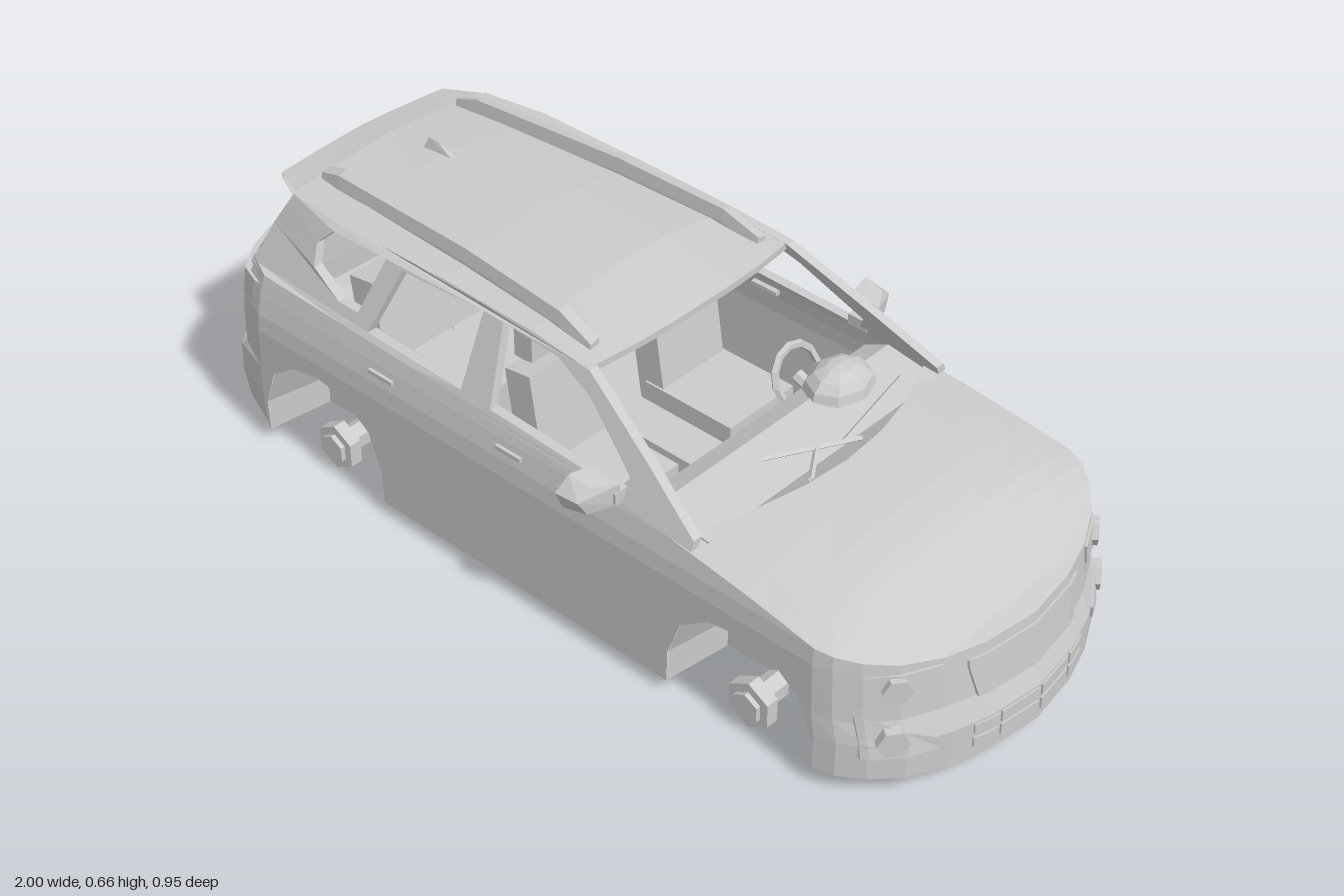
import * as THREE from 'three';
import { ConvexGeometry } from 'three/addons/geometries/ConvexGeometry.js';

const mat = new THREE.MeshStandardMaterial({ color: 0xcccccc, flatShading: true, side: THREE.DoubleSide });
const clamp = THREE.MathUtils.clamp;

// piecewise linear lookup in a list of [key, value] with rising keys
function lookup(table, k) {
  for (let i = 1; i < table.length; i++) {
    const [a, va] = table[i - 1], [b, vb] = table[i];
    if (k <= b) return va + (vb - va) * clamp((k - a) / (b - a), 0, 1);
  }
  return table[table.length - 1][1];
}

// skin stretched over rows of points
function skin(rows) {
  const pos = [];
  const tri = (a, b, c) => {
    const [A, B, C] = [a, b, c].map(p => new THREE.Vector3(...p));
    if (B.sub(A).cross(C.sub(A)).length() > 1e-8) pos.push(...a, ...b, ...c);
  };
  for (let i = 0; i + 1 < rows.length; i++)
    for (let j = 0; j + 1 < rows[i].length; j++) {
      const a = rows[i][j], b = rows[i + 1][j], c = rows[i + 1][j + 1], d = rows[i][j + 1];
      tri(a, d, c);
      tri(a, c, b);
    }
  const g = new THREE.BufferGeometry();
  g.setAttribute('position', new THREE.Float32BufferAttribute(pos, 3));
  g.computeVertexNormals();
  return g;
}

// half plan outline, nose to tail: [x, z, bottom y]
const archShape = [[0.185, 0.05], [0.183, 0.11], [0.15, 0.2], [0.08, 0.25], [0, 0.265],
  [-0.08, 0.25], [-0.15, 0.2], [-0.183, 0.11], [-0.185, 0.032]];
const archX = [0.585, -0.595];
const archCols = cx => archShape.map(([x, y]) => [cx + x, 0.4, y]);
const nose = [[1, 0, 0.04], [0.983, 0.13, 0.04], [0.955, 0.22, 0.04], [0.915, 0.3, 0.042], [0.865, 0.355, 0.045], [0.815, 0.388, 0.045], [0.77, 0.4, 0.045]];
const tail = [[-0.79, 0.4, 0.055], [-0.89, 0.37, 0.065], [-0.94, 0.305, 0.075], [-0.972, 0.23, 0.08], [-0.995, 0.12, 0.08], [-1, 0, 0.08]];
const columns = [...nose, ...archCols(archX[0]), [0.4, 0.4, 0.032], [0.2, 0.4, 0.032], [-0.1, 0.4, 0.032],
  [-0.41, 0.4, 0.032], ...archCols(archX[1]), ...tail];

const topY = x => lookup([[-1, 0.445], [-0.78, 0.43], [-0.4, 0.42], [0.2, 0.41], [0.4, 0.385], [0.58, 0.365], [0.83, 0.33], [0.95, 0.3], [1, 0.295]], x);
const widthAt = y => lookup([[0.3, 1], [0.34, 0.99], [0.385, 0.965], [0.41, 0.945], [0.45, 0.92]], y);
const frontIn = y => lookup([[0.13, 0], [0.18, 0.02], [0.3, 0.03]], y);
const rearIn = y => lookup([[0.08, 0.025], [0.12, 0], [0.2, 0.005], [0.215, 0.035], [0.4, 0.04], [0.45, 0.075]], y);
const warp = (x, y, z) => {
  if (x > 0) x -= frontIn(y) * clamp((x - 0.7) / 0.2, 0, 1);
  else x += rearIn(y) * clamp((-x - 0.75) / 0.2, 0, 1);
  return [x, y, z * widthAt(y)];
};

// surface x of the nose (end 1) or tail (end -1)
const endX = (end, z, y) => end > 0
  ? lookup(nose.map(c => [c[1], c[0]]), Math.abs(z)) - frontIn(y)
  : lookup(tail.map(c => [c[1], c[0]]).reverse(), Math.abs(z)) + rearIn(y);

export function createModel() {
  const car = new THREE.Group();
  car.name = 'car';
  const add = (name, geo, x = 0, y = 0, z = 0) => {
    const m = new THREE.Mesh(geo, mat);
    m.name = name;
    m.position.set(x, y, z);
    car.add(m);
    return m;
  };
  const box = (name, w, h, d, x, y, z) => add(name, new THREE.BoxGeometry(w, h, d), x, y, z);
  const bar = (name, a, b, r, sides = 6) => add(name, new THREE.TubeGeometry(
    new THREE.LineCurve3(new THREE.Vector3(...a), new THREE.Vector3(...b)), 1, r, sides));
  const hull = (name, pts) => add(name, new ConvexGeometry(pts.map(p => new THREE.Vector3(...p))));

  // lower body, wrapped right round the car
  const ring = [...columns, ...columns.map(([x, z, y]) => [x, -z, y]).reverse()];
  const levels = [0, 0.1, 0.13, 0.18, 0.2, 0.215, 0.3, 0.34, 0.385, 0.5];
  add('lowerBody', skin(ring.map(([x, z, yb]) => levels.map(l => warp(x, clamp(l, yb, topY(x)), z)))));

  // bonnet, flat behind and falling to the nose
  const across = [1, 0.85, 0.6, 0.3, 0, -0.3, -0.6, -0.85, -1];
  const bonnetCols = columns.filter(c => c[0] > 0.58 || c[0] === 0.4);
  const bonnetMid = [[0.4, 0.412], [0.58, 0.405], [0.68, 0.395], [0.77, 0.375], [0.83, 0.355], [0.9, 0.325], [0.95, 0.305], [1, 0.295]];
  add('bonnet', skin(bonnetCols.map(([x, z]) => {
    const [px, py, pz] = warp(x, topY(x), z);
    const crown = lookup(bonnetMid, x) - py;
    return across.map(s => [px + (x === 0.4 ? 0.11 * (1 - s * s) : 0), py + crown * (1 - Math.abs(s) ** 2.5), pz * s]);
  })));

  // roof with a rear overhang: [x, centre y, edge y, half width]
  const roof = [[-0.86, 0.602, 0.588, 0.235], [-0.77, 0.622, 0.597, 0.272], [-0.6, 0.637, 0.6, 0.285],
    [-0.3, 0.646, 0.603, 0.297], [-0.05, 0.64, 0.6, 0.298], [0.1, 0.606, 0.588, 0.3]];
  const roofRow = ([x, c, e, w], dy = 0, dx = 0) => across.map(s =>
    [x + dx + (x > 0 ? 0.035 * (1 - s * s) : 0), c + (e - c) * Math.abs(s) ** 1.4 + dy, -w * s]);
  add('roof', skin(roof.map(r => roofRow(r))));
  add('windscreenHeader', skin([roofRow(roof[5]), roofRow(roof[5], -0.015), roofRow(roof[5], -0.012, -0.06)]));
  add('spoiler', skin([roofRow(roof[1], -0.03), roofRow(roof[0], -0.015), roofRow(roof[0])]));

  // pillars and window frames
  const path = pts => pts.map(p => new THREE.Vector2(...p));
  const frame = new THREE.Shape(path([[0.45, 0.385], [0.2, 0.4], [-0.1, 0.405], [-0.4, 0.41], [-0.78, 0.42], [-0.84, 0.43], [-0.81, 0.52],
    [-0.77, 0.595], [-0.6, 0.602], [-0.3, 0.606], [-0.05, 0.602], [0.11, 0.59], [0.3, 0.49], [0.45, 0.405]]));
  for (const w of [
    [[-0.66, 0.54], [-0.62, 0.58], [-0.46, 0.585], [-0.5, 0.46], [-0.56, 0.46], [-0.65, 0.495]],
    [[-0.46, 0.435], [-0.41, 0.58], [-0.18, 0.59], [-0.185, 0.43]],
    [[-0.1, 0.425], [-0.125, 0.59], [0.03, 0.583], [0.13, 0.545], [0.27, 0.45], [0.25, 0.415]],
  ]) frame.holes.push(new THREE.Path(path(w)));
  for (const s of [1, -1]) {
    const g = new THREE.ExtrudeGeometry(frame, { depth: 0.022, bevelEnabled: false });
    const p = g.attributes.position;
    for (let i = 0; i < p.count; i++) {
      const x = p.getX(i), y = p.getY(i);
      const taper = Math.max(0, -x - 0.6) * 0.12 * clamp((y - 0.43) / 0.16, 0, 1) + Math.max(0, -x - 0.78) * 0.35;
      const z = 0.378 - (y - 0.41) * 0.42 - taper;
      p.setZ(i, s > 0 ? z - 0.022 + p.getZ(i) : -z + p.getZ(i));
    }
    g.computeVertexNormals();
    add('sideFrame', g);
  }

  // tailgate frame around the open rear window
  const gate = (z, y, d) => [-0.928 + (y - 0.44) * 0.75 + z * z * 0.72 + d, y, z];
  const outer = [[0.35, 0.435], [0, 0.44], [-0.35, 0.435], [-0.27, 0.595], [0, 0.612], [0.27, 0.595], [0.35, 0.435]];
  const inner = [[0.27, 0.46], [0, 0.46], [-0.27, 0.46], [-0.225, 0.545], [0, 0.552], [0.225, 0.545], [0.27, 0.46]];
  add('tailgateFrame', skin([outer.map(p => gate(...p, 0)), inner.map(p => gate(...p, 0)), inner.map(p => gate(...p, 0.02))]));

  // wheel arch linings, hubs and axles
  for (const cx of archX) {
    for (const s of [1, -1]) {
      const mouth = archShape.map(([x, y]) => [cx + x, y, 0.398 * s]);
      const deep = archShape.map(([x, y]) => [cx + x * 0.9, y * 0.91, 0.24 * s]);
      add('archLining', skin(s > 0 ? [mouth, deep] : [deep, mouth]));
      add('archWall', new THREE.ShapeGeometry(new THREE.Shape(path(deep))), 0, 0, 0.24 * s);
      for (const [r, l, z] of [[0.056, 0.03, 0.355], [0.035, 0.046, 0.358], [0.03, 0.06, 0.31]])
        add('hub', new THREE.CylinderGeometry(r, r, l, 6).rotateX(Math.PI / 2), cx, 0.064, z * s);
    }
    bar('axle', [cx, 0.064, -0.35], [cx, 0.064, 0.35], 0.02);
    box('differential', 0.09, 0.05, 0.1, cx, 0.066, 0);
  }

  // underside, stepped up over the axles, with a tunnel down the middle: [x, half width, y]
  const channel = cx => [[cx + 0.17, 0.24, 0.04], [cx + 0.165, 0.24, 0.11], [cx - 0.165, 0.24, 0.11], [cx - 0.17, 0.24, 0.032]];
  const under = [...nose, ...channel(archX[0]), [0.4, 0.4, 0.032], [-0.41, 0.4, 0.032], ...channel(archX[1]), ...tail];
  add('underside', skin(under.map(([x, z, y]) => {
    const t = Math.min(z, 0.065), roofY = Math.abs(x) < 0.43 ? 0.1 : y;
    return [[-z, y], [-t, y], [-t, roofY], [t, roofY], [t, y], [z, y]].map(([pz, py]) => warp(x, py, pz));
  })));
  bar('exhaustPipe', [-0.6, 0.05, 0], [0.56, 0.05, 0], 0.018);
  hull('silencer', [-0.26, 0].flatMap(x => [[x, 0.06, 0.05], [x, 0.06, -0.05], [x, 0.02, 0.035], [x, 0.02, -0.035]]));
  hull('rearSilencer', [-0.76, -0.59].flatMap(x => [[x, 0.06, -0.14], [x, 0.06, -0.25], [x, 0.0, -0.17], [x, 0.0, -0.23]]));

  // raised panels that follow the nose or tail: [z, low y, high y]
  const patch = (name, end, pts, depth) => {
    const sec = ([z, lo, hi]) => [[-0.01, lo], [depth, lo], [depth, hi], [-0.01, hi], [-0.01, lo]]
      .map(([d, y]) => [endX(end, z, y) + d * end, y, z]);
    const flat = ([z, lo, hi]) => sec([z, (lo + hi) / 2, (lo + hi) / 2]);
    add(name, skin([flat(pts[0]), ...pts.map(sec), flat(pts[pts.length - 1])]));
  };
  const mirrored = (name, end, pts, depth) => {
    patch(name, end, pts, depth);
    patch(name, end, pts.map(([z, a, b]) => [-z, a, b]).reverse(), depth);
  };
  patch('grille', 1, [[-0.17, 0.255, 0.272], [-0.15, 0.178, 0.272], [-0.13, 0.177, 0.272], [0, 0.175, 0.272],
    [0.13, 0.177, 0.272], [0.15, 0.178, 0.272], [0.17, 0.255, 0.272]], 0.005);
  for (const y of [0.065, 0.099]) {
    mirrored('lowerGrilleSlat', 1, [[0.005, y, y + 0.026], [0.035, y, y + 0.026], [0.105, y, y + 0.026]], 0.004);
    mirrored('lowerGrilleSlat', 1, [[0.112, y, y + 0.026], [0.13, y, y + 0.026], [0.17, y + 0.004, y + 0.026]], 0.004);
  }
  mirrored('headlight', 1, [[0.225, 0.25, 0.288], [0.3, 0.225, 0.288], [0.355, 0.222, 0.288], [0.382, 0.24, 0.285]], 0.006);
  mirrored('fogSurround', 1, [[0.245, 0.105, 0.13], [0.3, 0.1, 0.155], [0.355, 0.097, 0.195], [0.365, 0.1, 0.198]], 0.006);
  mirrored('tailLight', -1, [[0.19, 0.375, 0.41], [0.23, 0.365, 0.415], [0.305, 0.35, 0.42], [0.37, 0.345, 0.42], [0.385, 0.36, 0.415]], 0.008);
  mirrored('rearReflector', -1, [[0.2, 0.115, 0.145], [0.23, 0.11, 0.15], [0.305, 0.11, 0.16]], 0.008);

  for (const s of [1, -1]) {
    // lamps, turned to lie along the rounded nose
    for (const [z, y, r] of [[0.305, 0.257, 0.03], [0.32, 0.14, 0.033]])
      add('lamp', new THREE.CylinderGeometry(r, r, 0.03, 6).rotateZ(Math.PI / 2), endX(1, z, y), y, z * s).rotation.y = -0.65 * s;
    // roof rails
    hull('roofRail', [[-0.76, 0.195, 0.625], [-0.7, 0.2, 0.643], [-0.3, 0.222, 0.656], [-0.02, 0.238, 0.645], [0.07, 0.245, 0.612]]
      .flatMap(([x, z, y]) => [[x, y, (z - 0.01) * s], [x, y - 0.006, (z + 0.012) * s], [x, y - 0.035, (z + 0.018) * s], [x, y - 0.03, (z - 0.014) * s]]));
    // door mirrors
    hull('mirror', [[0.18, 0.43, 0.475], [0.19, 0.465, 0.445], [0.19, 0.395, 0.465], [0.235, 0.43, 0.47], [0.24, 0.455, 0.44], [0.24, 0.395, 0.45],
      [0.2, 0.46, 0.395], [0.2, 0.4, 0.4], [0.27, 0.45, 0.39], [0.27, 0.4, 0.39]].map(([x, y, z]) => [x, y, z * s]));
    box('mirrorArm', 0.05, 0.025, 0.05, 0.245, 0.42, 0.378 * s);
    // door handles
    for (const x of [-0.03, -0.4]) box('doorHandle', 0.07, 0.01, 0.02, x, 0.365, 0.387 * s);
    // front seats
    box('seatCushion', 0.24, 0.09, 0.2, 0.02, 0.2, 0.18 * s);
    box('seatBack', 0.07, 0.27, 0.19, -0.1, 0.32, 0.18 * s).rotation.z = 0.15;
    hull('headrest', [-0.17, -0.12].flatMap(x => [[0.45, 0.052], [0.52, 0.052], [0.54, 0.045]]
      .flatMap(([y, w]) => [[x, y, 0.18 * s + w], [x, y, 0.18 * s - w]])));
  }

  // cabin interior
  box('cabinFloor', 0.8, 0.02, 0.74, 0, 0.112, 0);
  box('rearBench', 0.22, 0.1, 0.46, -0.4, 0.22, 0);
  box('rearBackrest', 0.07, 0.2, 0.56, -0.56, 0.37, 0).rotation.z = 0.15;
  const dash = new THREE.Shape(path([[0.28, 0.24], [0.42, 0.2], [0.46, 0.39], [0.33, 0.41], [0.27, 0.38]]));
  add('dashboard', new THREE.ExtrudeGeometry(dash, { depth: 0.7, bevelEnabled: false }), 0, 0, -0.35);
  add('instrumentHood', new THREE.SphereGeometry(0.085, 8, 4, 0, Math.PI * 2, 0, Math.PI / 2).scale(0.8, 0.65, 1), 0.34, 0.405, -0.18);
  box('centreConsole', 0.4, 0.12, 0.1, 0.1, 0.17, 0);
  const wheel = add('steeringWheel', new THREE.TorusGeometry(0.065, 0.009, 5, 12).rotateY(Math.PI / 2), 0.23, 0.375, -0.18);
  wheel.rotation.z = 0.4;
  bar('steeringColumn', [0.23, 0.375, -0.18], [0.32, 0.34, -0.18], 0.015);

  // wipers and roof aerial
  bar('wiper', [0.41, 0.44, 0.14], [0.495, 0.422, -0.06], 0.006, 4);
  bar('wiper', [0.48, 0.425, -0.02], [0.42, 0.412, -0.28], 0.006, 4);
  bar('wiperArm', [0.5, 0.415, 0.1], [0.455, 0.43, 0.03], 0.006, 4);
  hull('roofAerial', [[-0.57, 0.635, 0.008], [-0.57, 0.635, -0.008], [-0.66, 0.63, 0.008], [-0.66, 0.63, -0.008], [-0.65, 0.657, 0], [-0.62, 0.655, 0]]);
  return car;
}
